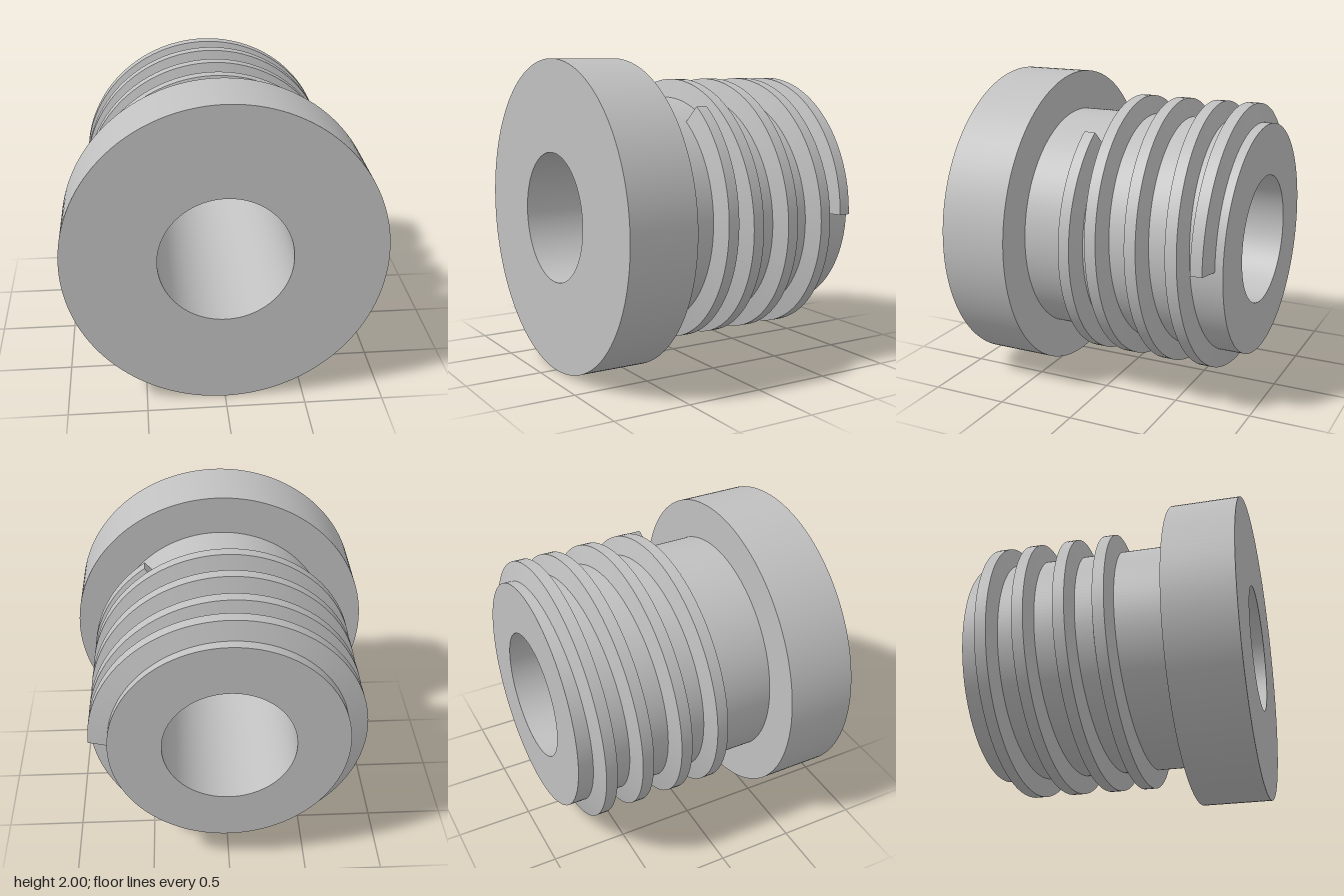
import * as THREE from 'three';
import { toCreasedNormals } from 'three/addons/utils/BufferGeometryUtils.js';

// Body and collar share one turned profile (radius, z) with a through bore
function makeBody() {
  const profile = [
    [0.415, -0.89], [0.745, -0.89], [0.745, 0.445], [1, 0.445], [1, 0.89], [0.415, 0.89], [0.415, -0.89],
  ].map(([r, z]) => new THREE.Vector2(r, z));
  const geometry = new THREE.LatheGeometry(profile, 160);
  geometry.rotateX(Math.PI / 2);
  return toCreasedNormals(geometry, 0.6);
}

// Helical ridge: a trapezoid swept clockwise, flattening out at both ends
function makeThread() {
  // z of the ridge centre at each quarter turn, beginning at the +x side
  const quarterZ = [0.1, 0.087, 0.032, -0.022, -0.085, -0.15, -0.22, -0.285, -0.35,
    -0.418, -0.485, -0.547, -0.613, -0.685, -0.726, -0.757, -0.77];
  const section = [[0.735, 0.072], [0.865, 0.037], [0.865, -0.037], [0.735, -0.072]];
  const startTurn = -54.6 / 90, endTurn = quarterZ.length - 1, steps = 480;
  const zAt = (t) => {
    if (t <= 0) return quarterZ[0];
    const i = Math.min(Math.floor(t), endTurn - 1), f = t - i;
    const p = (k) => quarterZ[THREE.MathUtils.clamp(k, 0, endTurn)];
    const [a, b, c, d] = [p(i - 1), p(i), p(i + 1), p(i + 2)];
    return b + 0.5 * f * (c - a + f * (2 * a - 5 * b + 4 * c - d + f * (3 * (b - c) + d - a)));
  };

  const positions = [], index = [];
  for (let i = 0; i <= steps; i++) {
    const t = startTurn + (endTurn - startTurn) * i / steps;
    const angle = -t * Math.PI / 2, z = zAt(t);
    for (const [r, dz] of section) positions.push(r * Math.cos(angle), r * Math.sin(angle), z + dz);
    if (i === steps) break;
    for (let k = 0; k < 3; k++) {
      const a = i * 4 + k, b = a + 1;
      index.push(a, a + 4, b, b, a + 4, b + 4);
    }
  }
  // End faces
  const e = steps * 4;
  index.push(0, 1, 2, 0, 2, 3, e, e + 2, e + 1, e, e + 3, e + 2);

  const geometry = new THREE.BufferGeometry();
  geometry.setAttribute('position', new THREE.Float32BufferAttribute(positions, 3));
  geometry.setIndex(index);
  return toCreasedNormals(geometry, 0.6);
}

export function createModel() {
  const model = new THREE.Group();
  model.name = 'threadedPlug';
  const grey = new THREE.MeshStandardMaterial({ color: 0xc0c0c0 });
  grey.name = 'grey';

  const body = new THREE.Mesh(makeBody(), grey);
  body.name = 'collaredBody';
  const thread = new THREE.Mesh(makeThread(), grey);
  thread.name = 'screwThread';

  body.position.y = thread.position.y = 1;
  model.add(body, thread);
  return model;
}
